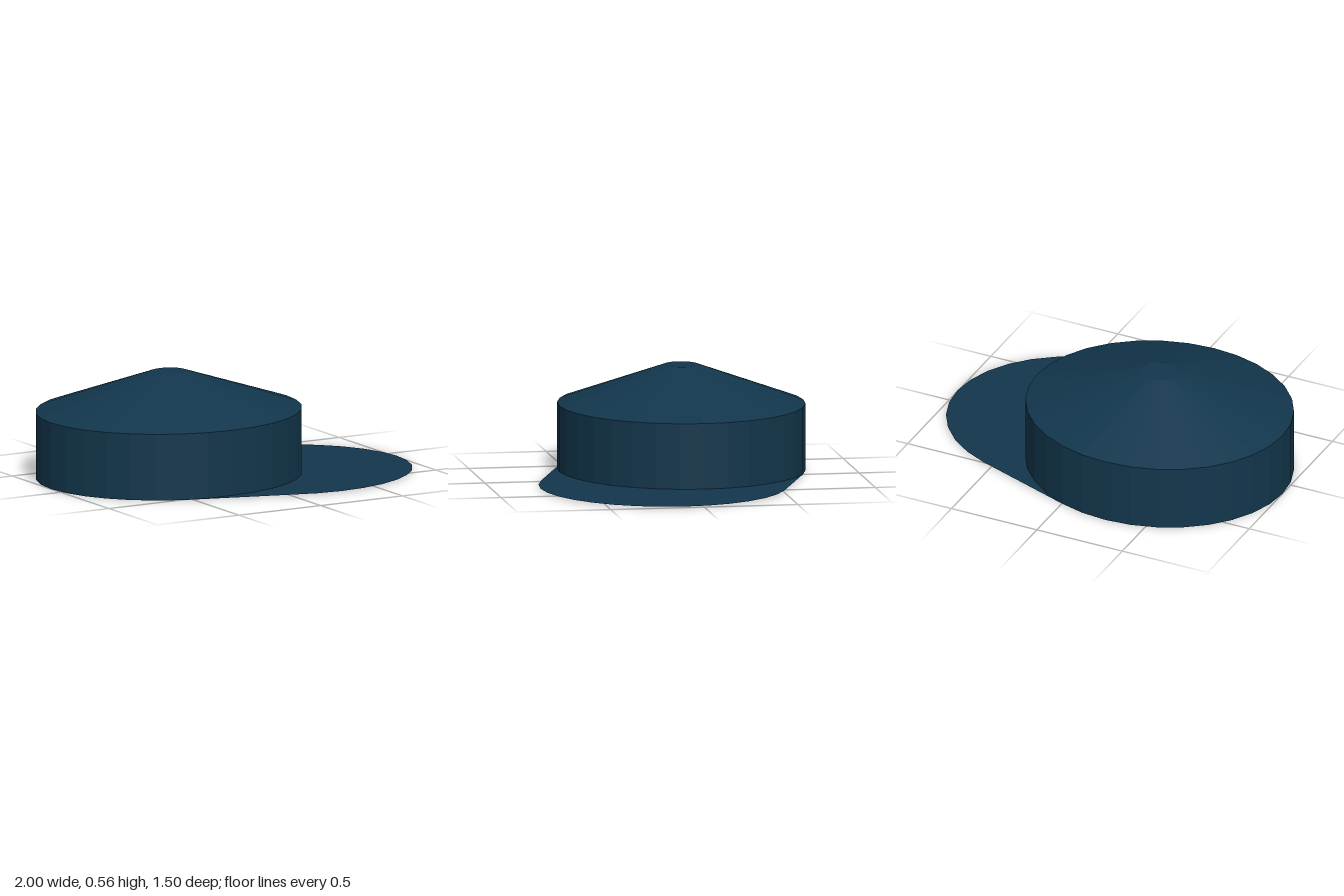
import * as THREE from 'three';

const SIDES = 32;
const RX = 0.72, RZ = 0.652;   // half axes of the oval
const CX = -0.28, CZ = -0.098; // centre of the crown
const WALL = 0.355, TOP = 0.56, BRIM = 0.006;

const cloth = new THREE.MeshStandardMaterial({ color: 0x12364c, flatShading: true });

// Oval frustum standing on y = 0, with a unit radius scaled to the oval
function oval(topRadius, height, openEnded) {
  const g = new THREE.CylinderGeometry(topRadius, 1, height, SIDES, 1, openEnded);
  return g.translate(0, height / 2, 0).scale(RX, 1, RZ);
}

function part(name, geometry, x, y, z) {
  const mesh = new THREE.Mesh(geometry, cloth);
  mesh.name = name;
  mesh.position.set(x, y, z);
  return mesh;
}

export function createModel() {
  const cap = new THREE.Group();
  cap.name = 'cap';

  // Upright band of the crown
  cap.add(part('crownBand', oval(1, WALL, true), CX, 0, CZ));

  // Sloping top with a small flat disc; open below, where it meets the band
  const slope = oval(0.1 / RX, TOP - WALL, true);
  cap.add(part('crownTop', slope, CX, WALL, CZ));
  const disc = new THREE.CircleGeometry(0.1 / RX, SIDES).rotateX(-Math.PI / 2).scale(RX, 1, RZ);
  cap.add(part('crownButton', disc, CX, TOP, CZ));

  // Brim: a very thin oval slab sheared forward and sideways from under the crown
  const brim = oval(1, BRIM, false);
  const shear = new THREE.Matrix4().set(
    1, -2 * CX / BRIM, 0, 0,
    0, 1, 0, 0,
    0, -2 * CZ / BRIM, 1, 0,
    0, 0, 0, 1);
  brim.applyMatrix4(shear);
  cap.add(part('brim', brim, CX, 0, CZ));

  return cap;
}
